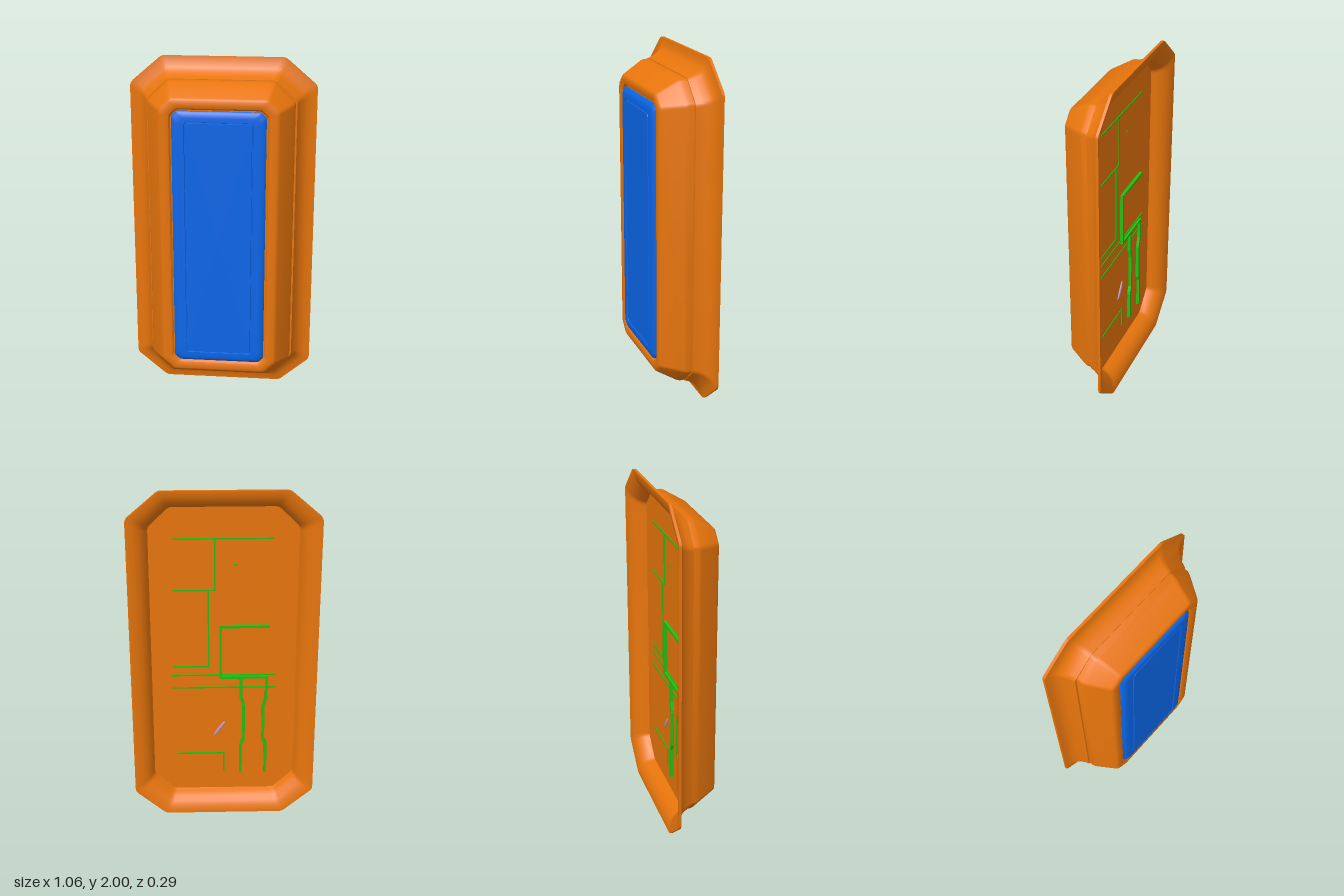
import * as THREE from 'three';
import { toCreasedNormals } from 'three/addons/utils/BufferGeometryUtils.js';

const mat = (color) => new THREE.MeshStandardMaterial({ color });
const orange = mat(0xe8750c), blue = mat(0x0a66e8), green = mat(0x22c010), mauve = mat(0xc090b0);

// Rectangle with cut corners (half width, half height, cut in x and y), each angle slightly rounded
function outline(hw, hh, cx, cy, round) {
  const v = [];
  for (const [sx, sy] of [[1, 1], [-1, 1], [-1, -1], [1, -1]]) {
    const side = new THREE.Vector2(sx * hw, sy * (hh - cy));
    const end = new THREE.Vector2(sx * (hw - cx), sy * hh);
    v.push(...(sx * sy > 0 ? [side, end] : [end, side]));
  }
  const pts = [];
  v.forEach((p, i) => {
    const toward = (q) => q.clone().sub(p).setLength(round).add(p);
    const a = toward(v[(i + 7) % 8]), b = toward(v[(i + 1) % 8]);
    pts.push(...new THREE.QuadraticBezierCurve(a, p, b).getPoints(4));
  });
  return pts;
}

// Skin through outlines; each ring is [hw, hh, cx, cy, z], running back to front on outer faces
function loft(rings, { round = 0.02, cap = false, closed = false, crease = 0.6 } = {}) {
  const pos = [], idx = [];
  let n = 0;
  for (const [hw, hh, cx, cy, z] of rings) {
    const pts = outline(hw, hh, cx, cy, round);
    n = pts.length;
    pts.forEach((p) => pos.push(p.x, p.y + 1, z));
  }
  const m = rings.length;
  for (let i = 0; i < (closed ? m : m - 1); i++) {
    for (let j = 0; j < n; j++) {
      const k = (j + 1) % n, a = i * n, b = ((i + 1) % m) * n;
      idx.push(a + j, a + k, b + k, a + j, b + k, b + j);
    }
  }
  if (cap) {
    pos.push(0, 1, rings[m - 1][4]);
    for (let j = 0; j < n; j++) idx.push((m - 1) * n + j, (m - 1) * n + (j + 1) % n, m * n);
  }
  const g = new THREE.BufferGeometry();
  g.setAttribute('position', new THREE.Float32BufferAttribute(pos, 3));
  g.setIndex(idx);
  return toCreasedNormals(g, crease);
}

export function createModel() {
  const group = new THREE.Group();
  const add = (name, geometry, material, parent = group) => {
    const mesh = new THREE.Mesh(geometry, material);
    mesh.name = name;
    parent.add(mesh);
    return mesh;
  };

  // Flared back frame: a thin hollow shell, inner skin first, then outer skin
  const frameProfile = [
    [0.118, -0.04], [0.108, -0.075], [0.092, -0.103], [0.07, -0.125], [0.04, -0.139], [0.008, -0.147],
    [0, -0.147], [0, -0.132], [0.035, -0.127], [0.06, -0.114], [0.08, -0.094],
    [0.097, -0.064], [0.108, -0.034], [0.125, -0.034],
  ];
  add('backFrame', loft(frameProfile.map(([d, z]) => {
    const t = d / 0.11;
    return [0.528 - d, 1 - d, 0.18 - 0.06 * t, 0.155 - 0.04 * t, z];
  }), { closed: true }), orange);

  // Front housing: short straight wall, sloped sides, rounded lip and a recess for the panel
  add('frontHousing', loft([
    [0.41, 0.888, 0.115, 0.112, -0.045],
    [0.41, 0.888, 0.115, 0.112, -0.005],
    [0.404, 0.884, 0.114, 0.112, 0.012],
    [0.335, 0.82, 0.068, 0.066, 0.122],
    [0.328, 0.814, 0.065, 0.063, 0.131],
    [0.316, 0.804, 0.062, 0.06, 0.136],
    [0.29, 0.78, 0.05, 0.05, 0.136],
    [0.275, 0.765, 0.04, 0.04, 0.131],
    [0.266, 0.756, 0.035, 0.035, 0.118],
  ], { round: 0.015, cap: true }), orange);

  // Back plate closing the housing
  const plate = new THREE.ExtrudeGeometry(
    new THREE.Shape(outline(0.414, 0.892, 0.117, 0.114, 0.015)), { depth: 0.01, bevelEnabled: false });
  plate.translate(0, 1, -0.05);
  add('backPlate', plate, orange);

  // Front panel with bevelled rim and a fine groove
  const c = 0.03;
  add('frontPanel', loft([
    [0.26, 0.75, c, c, 0.115],
    [0.26, 0.75, c, c, 0.128],
    [0.253, 0.743, c, c, 0.137],
    [0.24, 0.73, c, c, 0.143],
    [0.226, 0.716, c, c, 0.145],
    [0.19, 0.693, 0.012, 0.012, 0.145],
    [0.188, 0.691, 0.012, 0.012, 0.14],
    [0.184, 0.687, 0.012, 0.012, 0.14],
    [0.182, 0.685, 0.012, 0.012, 0.145],
  ], { round: 0.007, cap: true }), blue);

  // Raised traces on the back plate, each a chain of bars
  const traces = new THREE.Group();
  traces.name = 'backTraces';
  group.add(traces);
  const trace = (name, width, height, points) => {
    for (let i = 1; i < points.length; i++) {
      const [x0, y0] = points[i - 1], [x1, y1] = points[i];
      const bar = add(name, new THREE.BoxGeometry(
        Math.hypot(x1 - x0, y1 - y0) + width * 0.9, width, height + 0.004), green, traces);
      bar.position.set((x0 + x1) / 2, (y0 + y1) / 2, -0.048 - height / 2);
      bar.rotation.z = Math.atan2(y1 - y0, x1 - x0);
    }
  };
  const thin = [
    [[0.275, 1.705], [-0.27, 1.705]],
    [[0.05, 1.7], [0.05, 1.405], [0.28, 1.405]],
    [[0.086, 1.4], [0.086, 0.935], [0.287, 0.935]],
    [[0.298, 0.88], [-0.298, 0.88]],
    [[0.298, 0.8], [-0.298, 0.8]],
    [[0.28, 0.36], [0, 0.36], [0, 0.24]],
    [[-0.06, 1.556], [-0.072, 1.556]],
  ];
  thin.forEach((p) => trace('thinTrace', 0.008, 0.005, p));
  trace('thickTrace', 0.014, 0.018, [[-0.254, 1.187], [0.017, 1.187], [0.017, 0.868], [-0.247, 0.868]]);
  for (const [x, bend] of [[-0.1, -0.016], [-0.247, 0.016]]) {
    trace('thickTrace', 0.016, 0.018, [
      [x, 0.865], [x, 0.74], [x + bend, 0.68], [x + bend, 0.46], [x, 0.42], [x, 0.235]]);
  }

  // Small slanted spindle on the back plate
  const spindle = add('spindle', new THREE.SphereGeometry(1, 16, 10), mauve);
  spindle.scale.set(0.011, 0.06, 0.008);
  spindle.position.set(0.026, 0.524, -0.052);
  spindle.rotation.z = 0.6;

  return group;
}
